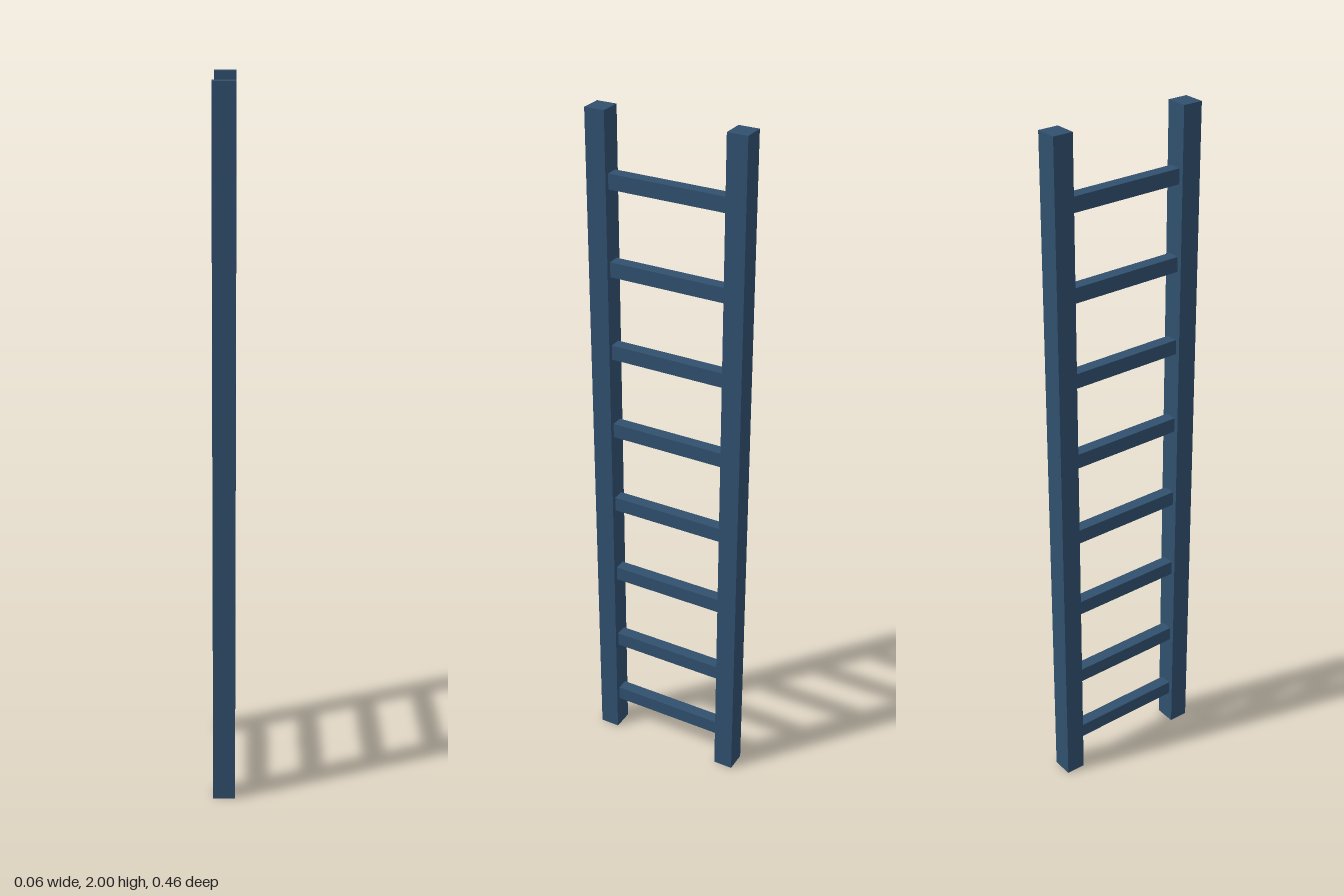
import * as THREE from 'three';

export function createModel() {
  const group = new THREE.Group();
  group.name = 'ladder';
  const blue = new THREE.MeshStandardMaterial({ color: 0x31506e });
  blue.name = 'slate blue';

  const addBox = (name, w, h, d, y, z) => {
    const mesh = new THREE.Mesh(new THREE.BoxGeometry(w, h, d), blue);
    mesh.name = name;
    mesh.position.set(0, y, z);
    group.add(mesh);
  };

  // Two upright rails
  addBox('frontRail', 0.062, 2, 0.058, 1, 0.202);
  addBox('backRail', 0.062, 2, 0.058, 1, -0.202);

  // Seven evenly spaced rungs, and a lowest one set a little closer
  const rungHeights = [0.124];
  for (let i = 0; i < 7; i++) rungHeights.push(0.336 + i * 0.2455);
  rungHeights.forEach((y, i) => addBox(`rung${i + 1}`, 0.035, 0.043, 0.348, y, 0));

  return group;
}
